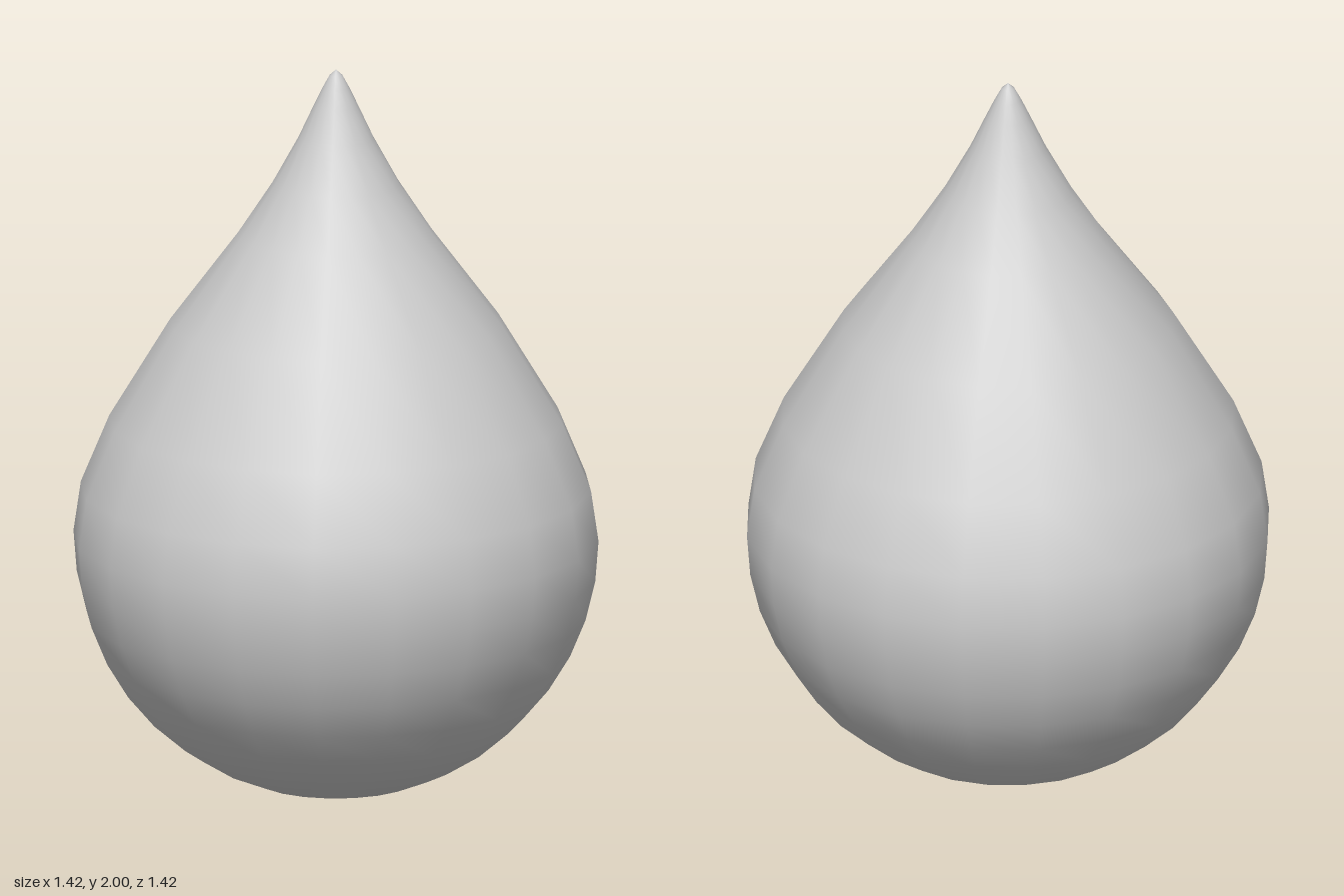
import * as THREE from 'three';

export function createModel() {
  const group = new THREE.Group();
  const R = 0.708;
  const profile = [];

  // round belly: lower half of a sphere, in 9 degree steps
  for (let i = 0; i <= 10; i++) {
    const a = (i * Math.PI) / 20;
    profile.push(new THREE.Vector2(R * Math.sin(a), R * (1 - Math.cos(a))));
  }

  // shoulder tapering in to the rounded tip
  const taper = [
    [0.688, 0.845], [0.611, 1.03], [0.447, 1.3], [0.263, 1.545], [0.171, 1.685],
    [0.102, 1.81], [0.06, 1.9], [0.036, 1.95], [0.017, 1.985], [0, 2],
  ];
  for (const [r, y] of taper) profile.push(new THREE.Vector2(r, y));

  const drop = new THREE.Mesh(
    new THREE.LatheGeometry(profile, 20),
    new THREE.MeshStandardMaterial({ color: 0xcccccc })
  );
  drop.name = 'droplet';
  group.add(drop);
  return group;
}
